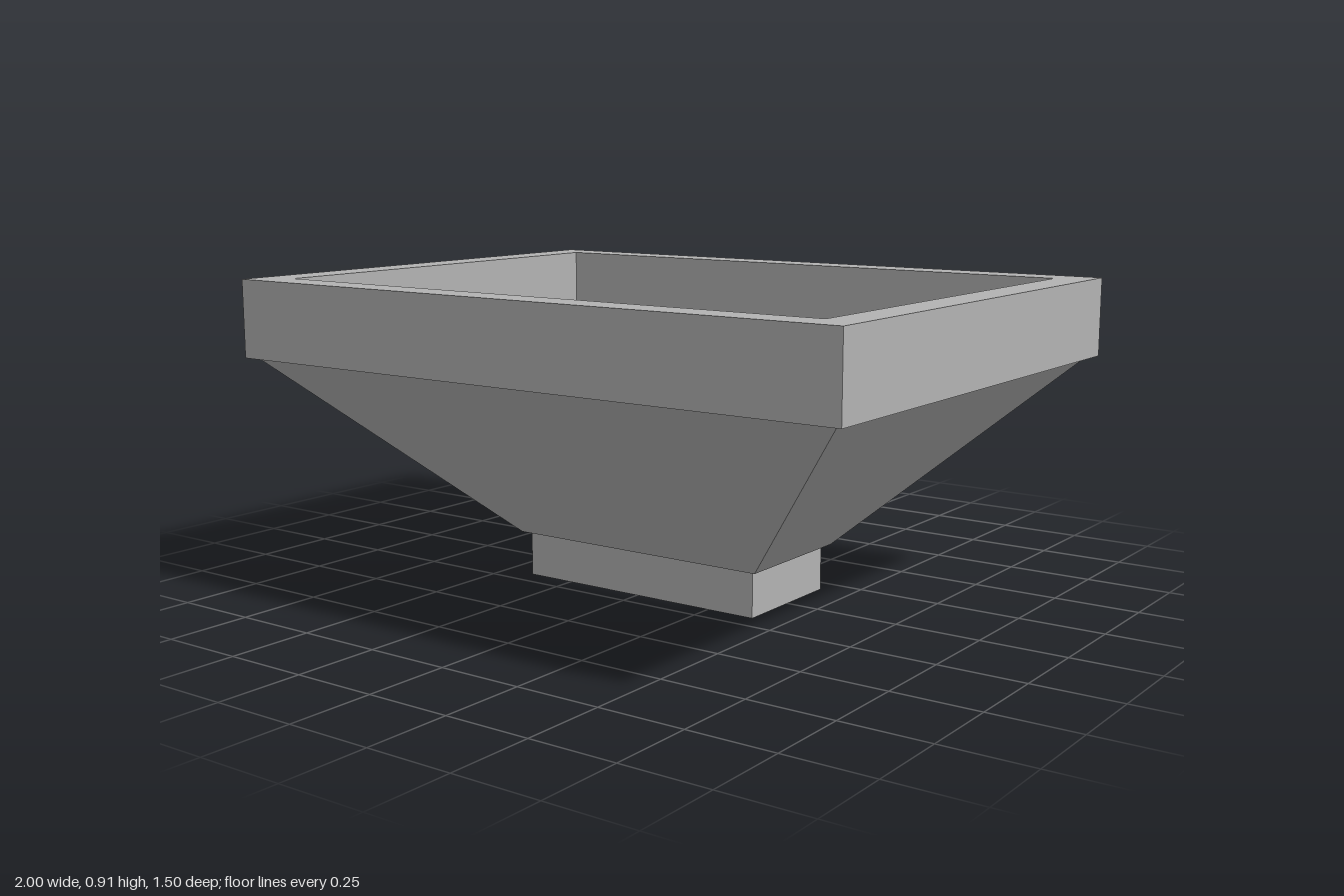
import * as THREE from 'three';

// Corner signs of a rectangle, counter-clockwise seen from above
const CORNERS = [[1, 1], [1, -1], [-1, -1], [-1, 1]];

// Sweeps rectangular sections [halfWidth, halfDepth, y] into flat-faced bands.
// Each strip runs up the outside and down the inside.
function rectShell(strips) {
  const positions = [];
  for (const strip of strips) {
    for (let s = 0; s < strip.length - 1; s++) {
      for (let i = 0; i < 4; i++) {
        const at = ([w, d, y], c) => [CORNERS[c % 4][0] * w, y, CORNERS[c % 4][1] * d];
        const a = at(strip[s], i), b = at(strip[s], i + 1);
        const c = at(strip[s + 1], i + 1), e = at(strip[s + 1], i);
        positions.push(...a, ...b, ...c, ...a, ...c, ...e);
      }
    }
  }
  const geometry = new THREE.BufferGeometry();
  geometry.setAttribute('position', new THREE.Float32BufferAttribute(positions, 3));
  geometry.computeVertexNormals();
  return geometry;
}

export function createModel() {
  const group = new THREE.Group();
  group.name = 'hopper';
  const metal = new THREE.MeshStandardMaterial({ color: 0xb3b3b3 });
  metal.name = 'grey metal';

  const rimBase = 0.68, rimTop = 0.91, neck = 0.135;
  const funnelTopOuter = [0.975, 0.725, rimBase], funnelTopInner = [0.87, 0.62, rimBase];
  const funnelLowOuter = [0.42, 0.205, neck], throat = [0.383, 0.166, neck];
  const spoutTop = [0.4, 0.184, neck];

  const add = (name, strips) => {
    const mesh = new THREE.Mesh(rectShell(strips), metal);
    mesh.name = name;
    group.add(mesh);
  };

  // Upright frame with a narrow ledge inside and a lip below
  add('rim', [[
    funnelTopOuter, [1, 0.75, rimBase], [1, 0.75, rimTop],
    [0.895, 0.65, rimTop], [0.895, 0.65, rimBase], funnelTopInner,
  ]]);

  // Sloping walls, outside and inside
  add('funnel', [[spoutTop, funnelLowOuter, funnelTopOuter], [funnelTopInner, throat]]);

  // Thin-walled rectangular outlet
  add('spout', [[throat, [throat[0], throat[1], 0], [spoutTop[0], spoutTop[1], 0], spoutTop]]);

  return group;
}
